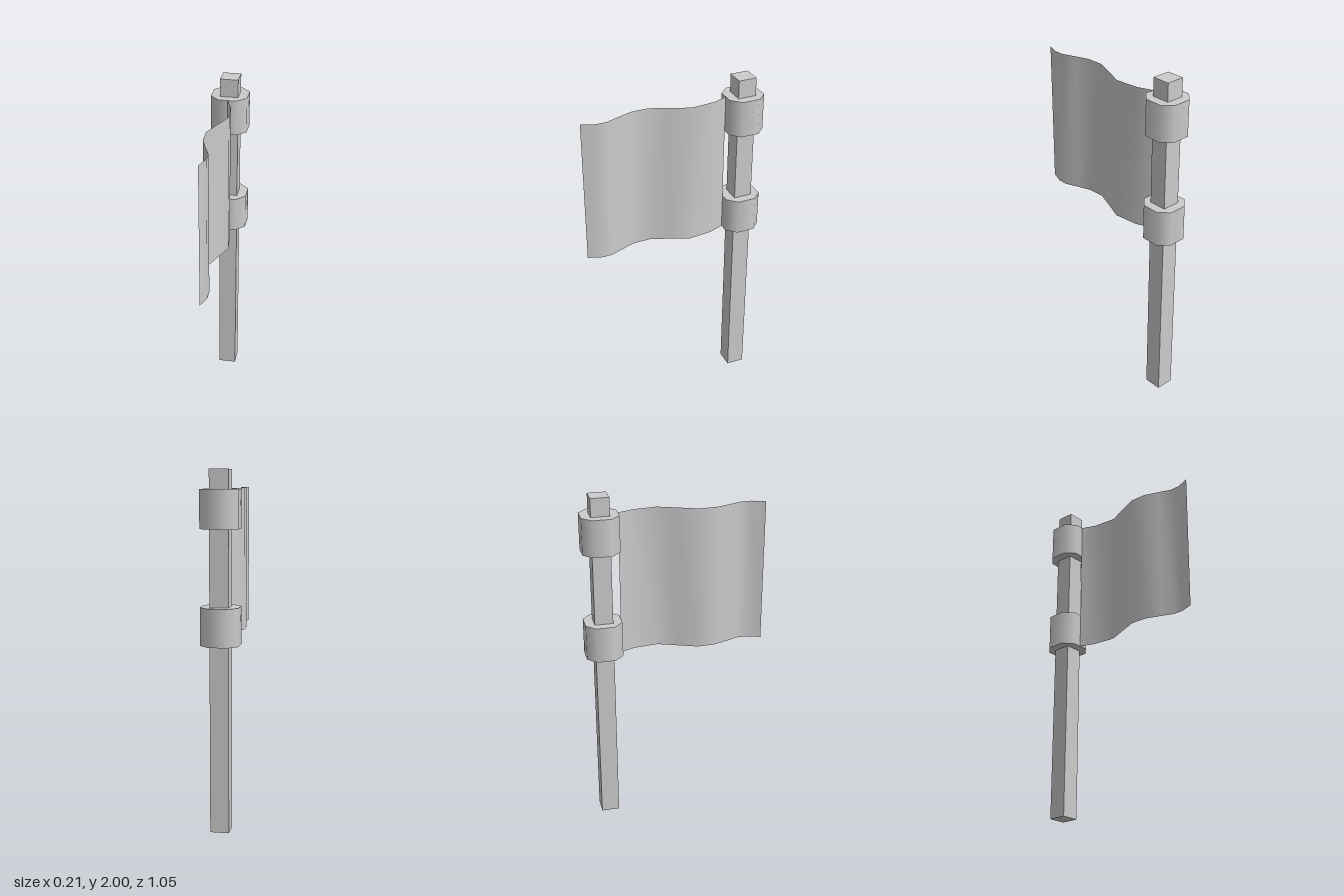
import * as THREE from 'three';

const POLE_Z = -0.42;

function add(group, name, geometry, y, z, material) {
  const mesh = new THREE.Mesh(geometry, material);
  mesh.name = name;
  mesh.position.set(0, y, z);
  group.add(mesh);
}

// Eight-sided collar with a square-cornered outline: flats at 0.105, corners at 0.052
function collarGeometry() {
  const g = new THREE.CylinderGeometry(1, 1, 0.21, 8, 1, false, Math.PI / 8);
  const p = g.attributes.position;
  const snap = (v) => {
    const a = Math.abs(v);
    return Math.sign(v) * (a > 0.7 ? 0.105 : a > 0.2 ? 0.052 : 0);
  };
  for (let i = 0; i < p.count; i++) p.setXYZ(i, snap(p.getX(i)), p.getY(i), snap(p.getZ(i)));
  return g;
}

// Thin cloth that follows a wavy line of [x, z] points
function clothGeometry() {
  const wave = [
    [0, -0.315], [0.034, -0.23], [0.05, -0.09], [0.006, 0.02], [-0.037, 0.13],
    [-0.034, 0.23], [-0.003, 0.315], [0.027, 0.39], [0.027, 0.45], [0, 0.527],
  ];
  const g = new THREE.PlaneGeometry(1, 0.84, wave.length - 1, 1);
  const p = g.attributes.position;
  for (let i = 0; i < p.count; i++) {
    // reversed so that the sheet's front side faces +x
    const [x, z] = wave[wave.length - 1 - (i % wave.length)];
    p.setXYZ(i, x, p.getY(i), z);
  }
  g.computeVertexNormals();
  return g;
}

export function createModel() {
  const group = new THREE.Group();
  group.name = 'flag';
  const grey = new THREE.MeshStandardMaterial({ color: 0xcccccc });
  const thin = new THREE.MeshStandardMaterial({ color: 0xcccccc, side: THREE.DoubleSide });

  // Square pole
  add(group, 'pole', new THREE.BoxGeometry(0.105, 2, 0.105), 1, POLE_Z, grey);

  // Collars holding the cloth
  add(group, 'upperCollar', collarGeometry(), 1.79, POLE_Z, grey);
  add(group, 'lowerCollar', collarGeometry(), 1.16, POLE_Z, grey);

  // Waving cloth
  add(group, 'cloth', clothGeometry(), 1.475, 0, thin);
  return group;
}
